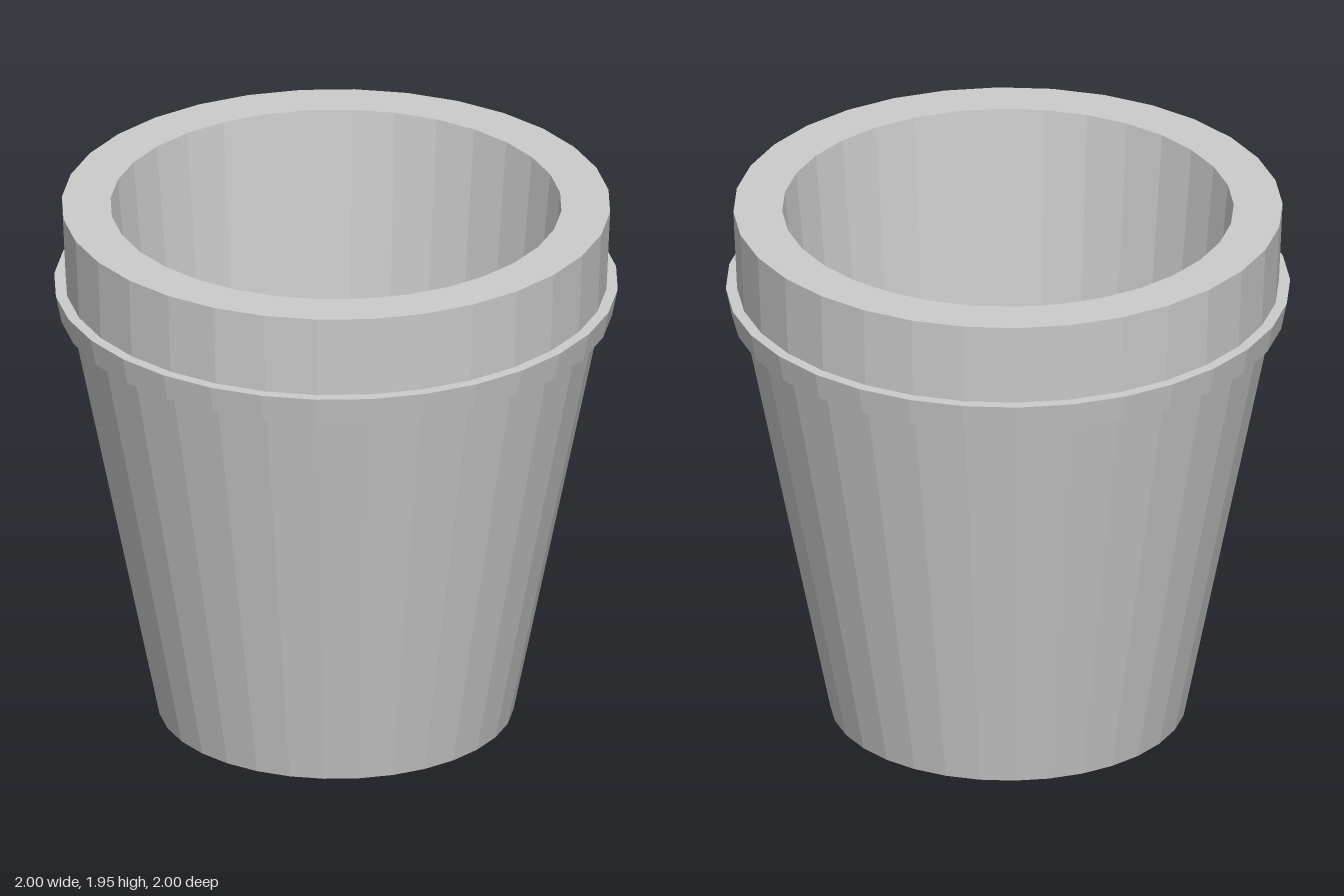
import * as THREE from 'three';

const SIDES = 32;

export function createModel() {
  const pot = new THREE.Group();
  pot.name = 'flowerPot';
  const material = new THREE.MeshStandardMaterial({ color: 0xcccccc, flatShading: true });

  // Revolve a [radius, height] profile; outward faces run bottom to top
  function addRing(name, profile) {
    const points = profile.map(([r, y]) => new THREE.Vector2(r, y));
    const mesh = new THREE.Mesh(new THREE.LatheGeometry(points, SIDES), material);
    mesh.name = name;
    pot.add(mesh);
  }

  // Underside and tapered outer wall
  addRing('outerWall', [[0, 0], [0.63, 0], [0.942, 1.55]]);

  // Flared collar under the rim
  addRing('collar', [[0.942, 1.55], [0.98, 1.55], [1, 1.65], [0.96, 1.65]]);

  // Upright rim with its wide flat top
  addRing('rim', [[0.96, 1.65], [0.973, 1.95], [0.8, 1.95]]);

  // Hollow inside, down to the floor
  addRing('innerWall', [[0.8, 1.95], [0.628, 0.01]]);
  addRing('floor', [[0.628, 0.01], [0, 0.01]]);

  return pot;
}
